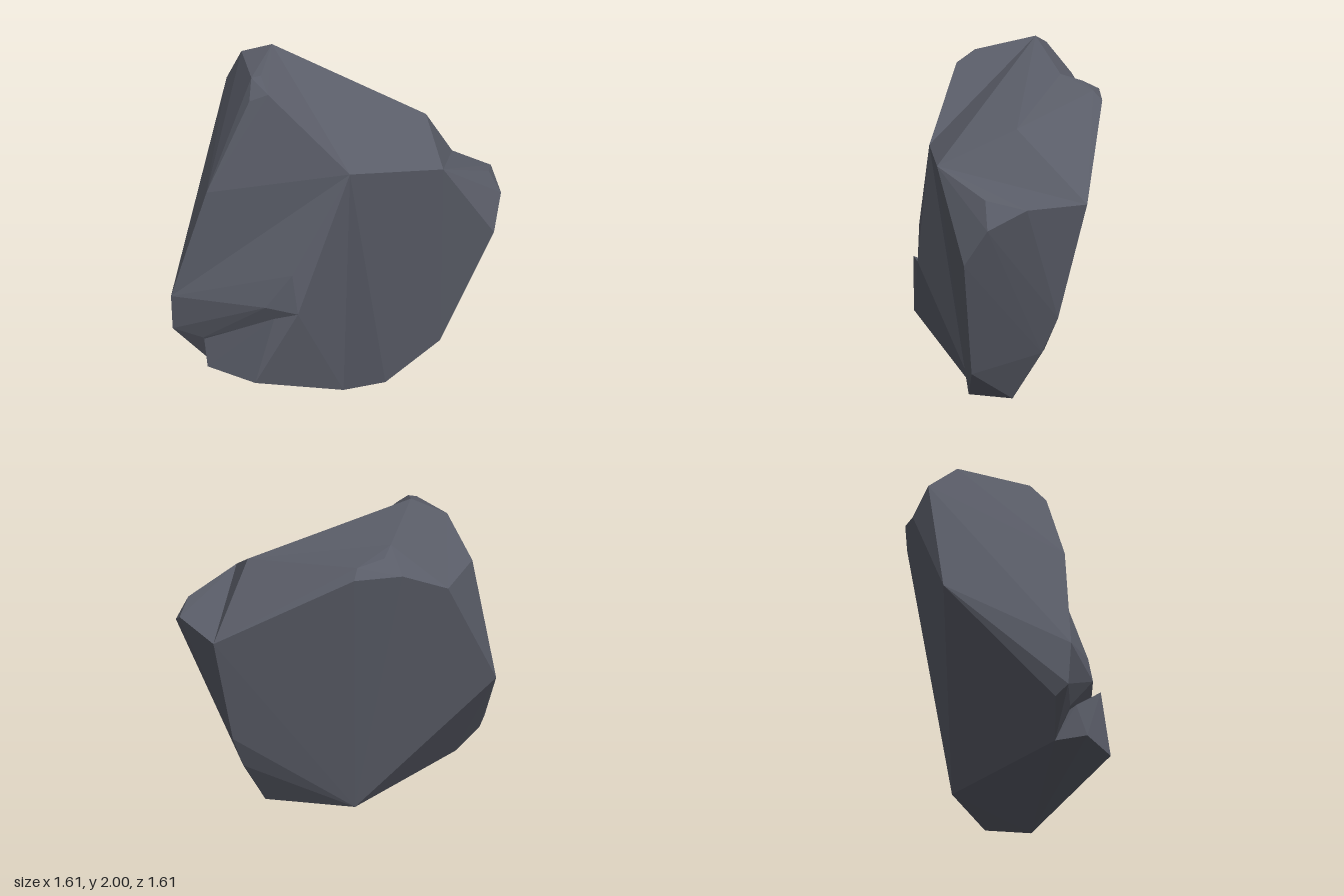
import * as THREE from 'three';
import { ConvexGeometry } from 'three/addons/geometries/ConvexGeometry.js';

// A faceted boulder: interlocking convex chunks sharing key corners,
// so that the valleys between the chunks stay visible.
export function createModel() {
  const slate = new THREE.MeshStandardMaterial({ color: 0x5a5d68, flatShading: true });
  slate.name = 'darkSlate';
  const group = new THREE.Group();
  group.name = 'boulder';

  const chunk = (name, points) => {
    const corners = points.map((p) => new THREE.Vector3(...p));
    const mesh = new THREE.Mesh(new ConvexGeometry(corners), slate);
    mesh.name = name;
    group.add(mesh);
  };

  // Corners shared between chunks
  const peak = [-0.07, 2.0, -0.36];
  const rightTip = [0.80, 1.31, 0.25];
  const brow = [0.18, 1.48, 0.68];
  const browLeft = [-0.20, 1.47, 0.37];
  const ridge = [0.42, 1.65, 0.35];
  const valley = [0.11, 1.80, -0.37];
  const backTop = [0.05, 1.62, -0.69];
  const backPeak = [-0.10, 1.74, -0.73];
  const backBulge = [-0.30, 1.02, -0.80];
  const backFoot = [0.17, 0.17, -0.19];
  const backHeel = [-0.64, 0.24, -0.35];
  const rightWaist = [0.66, 0.67, 0.29];
  const leftWaist = [-0.81, 0.68, -0.43];
  const leftHip = [-0.80, 0.46, -0.45];
  const leftUnder = [-0.70, 0.42, -0.30];
  const base = [-0.06, 0, 0.20];
  const notch = [-0.46, 0.69, 0.24];

  // Left flank, rising to the peak
  chunk('leftFlank', [
    peak, browLeft, backTop, backPeak, backBulge, backFoot, backHeel, base,
    leftWaist, leftHip, leftUnder,
    [-0.14, 1.94, -0.54], [-0.34, 1.92, -0.15], [-0.38, 1.91, -0.18],
    [-0.45, 1.81, -0.12], [-0.39, 1.85, -0.04], [-0.66, 1.32, -0.25],
    [-0.73, 0.41, -0.46],
  ]);

  // Ledge swelling out below the left flank
  chunk('leftLedge', [
    browLeft, notch, base, backFoot, leftWaist, leftHip, leftUnder,
    [-0.47, 0.92, 0.21], [-0.57, 0.72, 0.10],
  ]);

  // Slab jutting out at the lower left
  chunk('leftFoot', [
    base, notch, backFoot, backHeel,
    [-0.66, 0.28, 0.10], [-0.74, 0.28, -0.22], [-0.715, 0.43, -0.27], [-0.57, 0.68, 0.17],
  ]);

  // Crown between the peak and the brow
  chunk('crown', [
    peak, browLeft, brow, ridge, valley, backTop, backPeak,
    backBulge, backFoot, rightWaist, base,
  ]);

  // Bulging shoulder behind the ridge
  chunk('backShoulder', [
    rightTip, brow, ridge, valley, backTop, backBulge, backFoot, rightWaist,
    [0.23, 1.77, -0.42], [0.36, 1.74, -0.35], [0.41, 1.69, -0.37], [0.25, 1.71, -0.55],
  ]);

  // Front corner below the brow, down to the base
  chunk('frontCorner', [
    rightTip, brow, browLeft, base, backFoot, rightWaist,
    [0.54, 1.38, 0.71], [0.71, 1.34, 0.60], [0.60, 1.25, 0.76], [0.49, 1.06, 0.81],
    [0.33, 0.35, 0.60], [0.10, 0.07, 0.39], [0.38, 0.12, 0.33], [0.23, 0.12, 0.10],
    [0.57, 0.45, 0.31],
  ]);

  return group;
}
